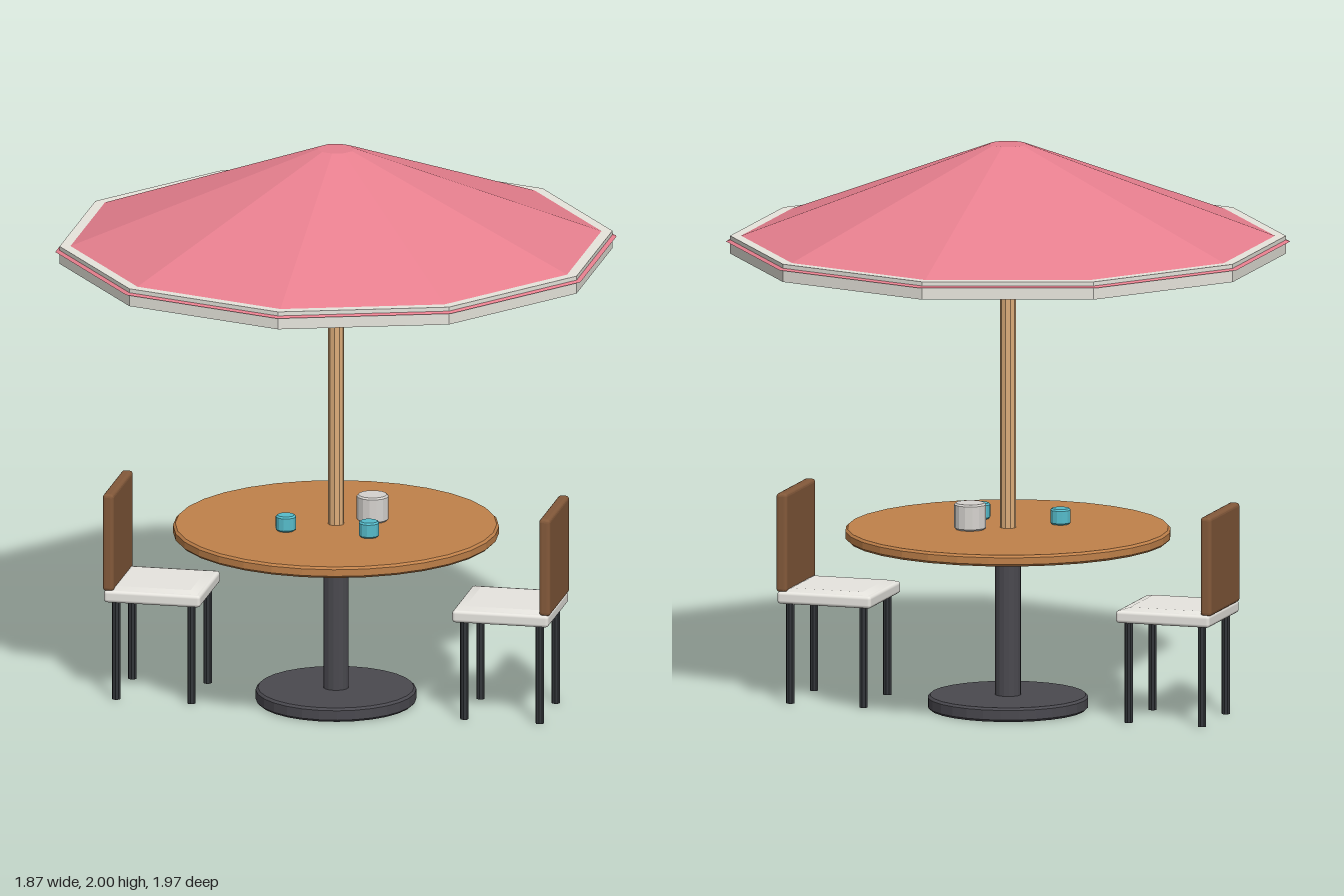
import * as THREE from 'three';
import { RoundedBoxGeometry } from 'three/addons/geometries/RoundedBoxGeometry.js';

function material(name, color, flatShading = false) {
  const m = new THREE.MeshStandardMaterial({ color, flatShading });
  m.name = name;
  return m;
}

function add(parent, name, geometry, mat, x = 0, y = 0, z = 0) {
  const mesh = new THREE.Mesh(geometry, mat);
  mesh.name = name;
  mesh.position.set(x, y, z);
  parent.add(mesh);
  return mesh;
}

// Solid round slab standing on y = 0 with chamfered rims and crisp edges
function disc(radius, height, chamfer, sides) {
  const points = [
    [0, 0], [radius - chamfer, 0], [radius, chamfer],
    [radius, height - chamfer], [radius - chamfer, height], [0, height],
  ].map(([r, y]) => new THREE.Vector2(r, y));
  return new THREE.LatheGeometry(points, sides);
}

export function createModel() {
  const model = new THREE.Group();
  model.name = 'patioSet';

  const pink = material('canopyPink', 0xe8808f, true);
  const trim = material('trimWhite', 0xefede4, true);
  const tan = material('poleWood', 0xdeae7b, true);
  const tableWood = material('tableWood', 0xc0814a, true);
  const chairWood = material('chairWood', 0x83593a, true);
  const castMetal = material('pedestalMetal', 0x4a494f, true);
  const legMetal = material('legMetal', 0x33363a, true);
  const cushion = material('cushionWhite', 0xf0eee8);
  const glass = material('cupTeal', 0x56bccb, true);
  const ceramic = material('jugGrey', 0xd6d3cf, true);

  // Parasol: ten-sided canopy, edge band and pole
  const parasol = new THREE.Group();
  parasol.name = 'parasol';
  model.add(parasol);
  add(parasol, 'canopy', new THREE.CylinderGeometry(0.065, 0.983, 0.345, 10), pink, 0, 1.8275);
  add(parasol, 'canopyBand', new THREE.CylinderGeometry(0.968, 0.968, 0.063, 10), trim, 0, 1.6435);
  add(parasol, 'pole', new THREE.CylinderGeometry(0.028, 0.028, 1.03, 10), tan, 0, 1.135);

  // Round table on a pedestal
  const table = new THREE.Group();
  table.name = 'table';
  model.add(table);
  add(table, 'tabletop', disc(0.568, 0.04, 0.008, 32), tableWood, 0, 0.604);
  add(table, 'pedestal', new THREE.CylinderGeometry(0.045, 0.045, 0.57, 16), castMetal, 0, 0.325);
  add(table, 'pedestalBase', disc(0.28, 0.05, 0.008, 28), castMetal, 0, 0.003);

  // Tableware
  const tableY = 0.644;
  add(table, 'jug', disc(0.056, 0.093, 0.006, 14), ceramic, 0.115, tableY, -0.073);
  for (const [x, z] of [[-0.153, 0.12], [0.147, 0.138]]) {
    add(table, 'cup', disc(0.036, 0.056, 0.006, 12), glass, x, tableY, z);
  }

  // Two chairs facing each other across the table
  const legGeometry = new THREE.CylinderGeometry(0.015, 0.015, 0.37, 8);
  for (const side of [-1, 1]) {
    const chair = new THREE.Group();
    chair.name = side < 0 ? 'rightChair' : 'leftChair';
    chair.position.x = side * 0.62;
    chair.rotation.y = side < 0 ? Math.PI : 0;
    model.add(chair);

    add(chair, 'seat', new RoundedBoxGeometry(0.344, 0.044, 0.344, 2, 0.012), cushion, 0, 0.38);
    const crown = new THREE.CylinderGeometry(0.13 * Math.SQRT2, 0.163 * Math.SQRT2, 0.009, 4);
    crown.rotateY(Math.PI / 4);
    add(chair, 'seatCrown', crown, cushion, 0, 0.4055);
    add(chair, 'backrest', new RoundedBoxGeometry(0.04, 0.35, 0.332, 2, 0.012), chairWood, 0.157, 0.573);
    for (const x of [-1, 1]) {
      for (const z of [-1, 1]) {
        add(chair, 'chairLeg', legGeometry, legMetal, x * 0.134, 0.188, z * 0.134);
      }
    }
  }

  return model;
}
